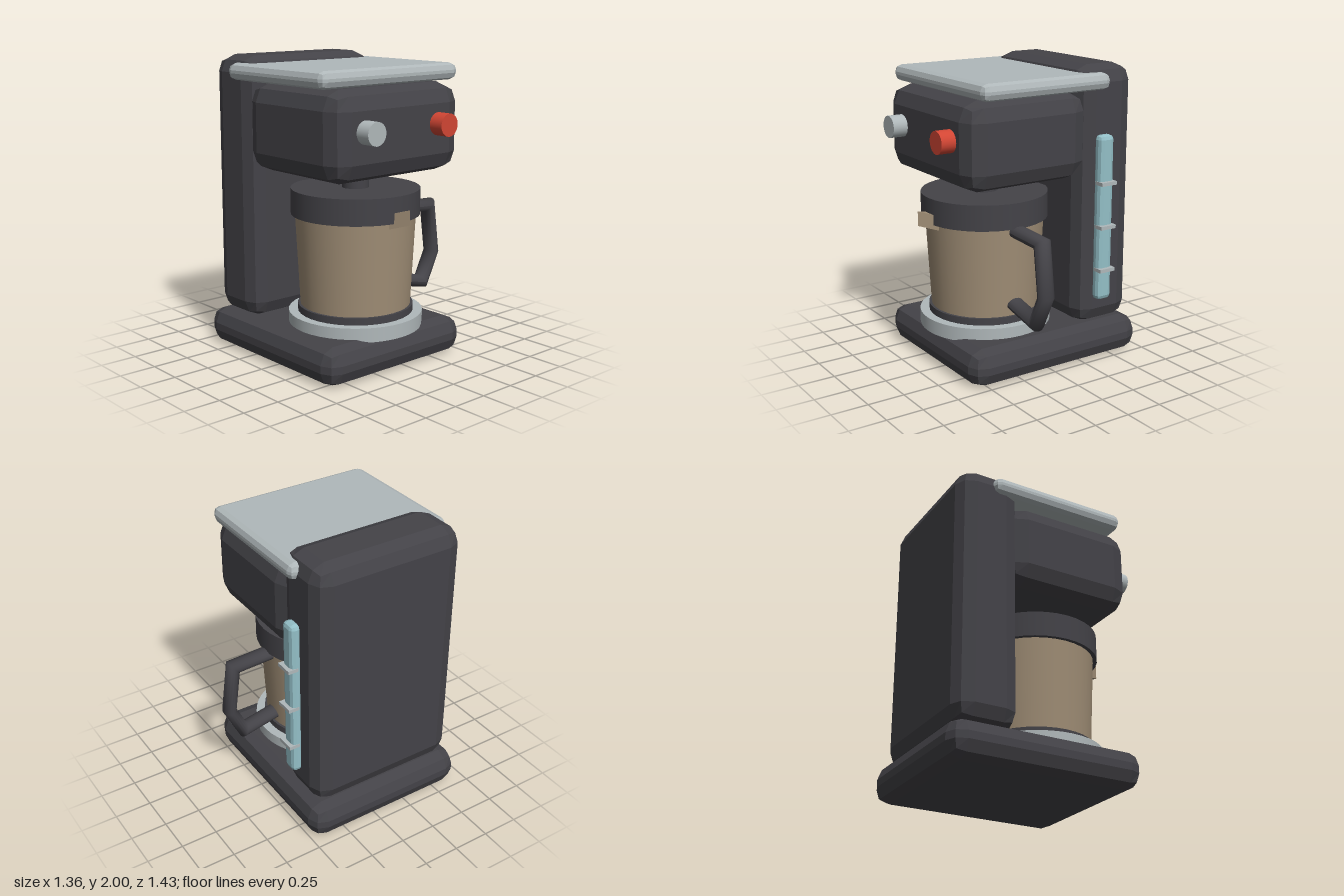
import * as THREE from 'three';

const mat = (name, color) => {
  const m = new THREE.MeshStandardMaterial({ color });
  m.name = name;
  return m;
};

// Box with two-step bevels on every edge, given by its min and max corners
function bevelBox(min, max, r) {
  const lo = new THREE.Vector3(...min), hi = new THREE.Vector3(...max);
  const half = hi.clone().sub(lo).multiplyScalar(0.5);
  const mid = hi.clone().add(lo).multiplyScalar(0.5);
  const g = new THREE.BoxGeometry(1, 1, 1, 3, 3, 3);
  const p = g.attributes.position, v = new THREE.Vector3(), n = new THREE.Vector3();
  const outer = (c) => (Math.abs(c) > 0.4 ? Math.sign(c) : 0);
  for (let i = 0; i < p.count; i++) {
    v.fromBufferAttribute(p, i);
    n.set(outer(v.x), outer(v.y), outer(v.z)).normalize().multiplyScalar(r);
    v.set(Math.sign(v.x) * (half.x - r), Math.sign(v.y) * (half.y - r), Math.sign(v.z) * (half.z - r));
    v.add(n).add(mid);
    p.setXYZ(i, v.x, v.y, v.z);
  }
  const flat = g.toNonIndexed();
  flat.computeVertexNormals();
  return flat;
}

// Oval bar along an xy polyline with mitred corners
function mitredBar(points, rx, rz) {
  const pts = points.map(([x, y]) => new THREE.Vector2(x, y));
  const last = pts.length - 1;
  const rings = pts.map((pt, i) => {
    const a = pts[Math.max(i - 1, 0)], b = pts[Math.min(i + 1, last)];
    const d1 = (i > 0 ? pt.clone().sub(a) : b.clone().sub(pt)).normalize();
    const d2 = (i < last ? b.clone().sub(pt) : d1.clone()).normalize();
    const t = d1.clone().add(d2).normalize();
    return { pt, side: new THREE.Vector2(t.y, -t.x).divideScalar(t.dot(d1)) };
  });
  const g = new THREE.CylinderGeometry(1, 1, 1, 16, last);
  const p = g.attributes.position;
  for (let i = 0; i < p.count; i++) {
    const { pt, side } = rings[Math.round((p.getY(i) + 0.5) * last)];
    const s = p.getX(i) * rx;
    p.setXYZ(i, pt.x + side.x * s, pt.y + side.y * s, p.getZ(i) * rz);
  }
  g.computeVertexNormals();
  return g;
}

export function createModel() {
  const model = new THREE.Group();
  model.name = 'coffeeMaker';
  const dark = mat('charcoal', 0x444348);
  const silver = mat('silver', 0xb0b8ba);
  const brown = mat('coffeeGlass', 0xa08e76);
  const teal = mat('waterBlue', 0x93bfc7);
  const red = mat('red', 0xd24634);

  const add = (name, geometry, material, x = 0, y = 0, z = 0, parent = model) => {
    const m = new THREE.Mesh(geometry, material);
    m.name = name;
    m.position.set(x, y, z);
    parent.add(m);
    return m;
  };
  const CX = -0.09, CZ = 0.175;

  // Housing
  add('base', bevelBox([-0.68, 0, -0.715], [0.5, 0.25, 0.615], 0.1), dark);
  add('tower', bevelBox([-0.627, 0.245, -0.66], [0.447, 2, -0.23], 0.11), dark);
  add('brewHead', bevelBox([-0.63, 1.265, -0.3], [0.45, 1.84, 0.615], 0.125), dark);
  add('topLid', bevelBox([-0.67, 1.845, -0.435], [0.49, 1.955, 0.535], 0.045), silver);
  add('nozzle', new THREE.CylinderGeometry(0.09, 0.09, 0.2, 24), dark, CX, 1.22, CZ);
  add('warmingPlate', new THREE.CylinderGeometry(0.447, 0.447, 0.095, 40), silver, CX, 0.2775, CZ);

  // Knobs
  for (const [name, x, material] of [['rightKnob', -0.4, silver], ['leftKnob', 0.22, red]]) {
    const knob = add(name, new THREE.CylinderGeometry(0.074, 0.074, 0.14, 24), material, x, 1.585, 0.647);
    knob.rotation.x = Math.PI / 2;
  }

  // Water gauge with level marks
  add('waterGauge', bevelBox([0.425, 0.43, -0.455], [0.507, 1.555, -0.34], 0.03), teal);
  for (const y of [0.645, 0.942, 1.238]) {
    add('levelMark', new THREE.BoxGeometry(0.075, 0.024, 0.12), silver, 0.4965, y, -0.397);
  }

  // Carafe
  const carafe = new THREE.Group();
  carafe.name = 'carafe';
  carafe.position.set(CX, 0, CZ);
  model.add(carafe);
  add('carafeFoot', new THREE.CylinderGeometry(0.385, 0.385, 0.06, 36), dark, 0, 0.342, 0, carafe);
  add('carafeGlass', new THREE.CylinderGeometry(0.4, 0.367, 0.62, 36), brown, 0, 0.675, 0, carafe);
  add('carafeLid', new THREE.CylinderGeometry(0.427, 0.427, 0.172, 36), dark, 0, 1.067, 0, carafe);

  // Three-sided spout, sheared upward toward its tip
  const spout = new THREE.CylinderGeometry(0.08, 0.08, 0.098, 3);
  spout.applyMatrix4(new THREE.Matrix4().makeShear(0, 0, 0, 0, 0, 0.3));
  const sp = spout.attributes.position;
  if (Math.abs(sp.getY(0) - 0.049) < 0.001) {
    for (let i = 0; i < sp.count; i++) sp.setY(i, sp.getY(i) + 0.3 * sp.getZ(i));
  }
  const spoutFlat = spout.toNonIndexed();
  spoutFlat.computeVertexNormals();
  add('spout', spoutFlat, brown, 0, 1.003, 0.43, carafe);

  // Handle
  const path = [[0.37, 0.955], [0.675, 0.94], [0.72, 0.6], [0.62, 0.395], [0.37, 0.45]];
  add('handle', mitredBar(path, 0.044, 0.06), dark, 0, 0, 0, carafe);

  return model;
}
